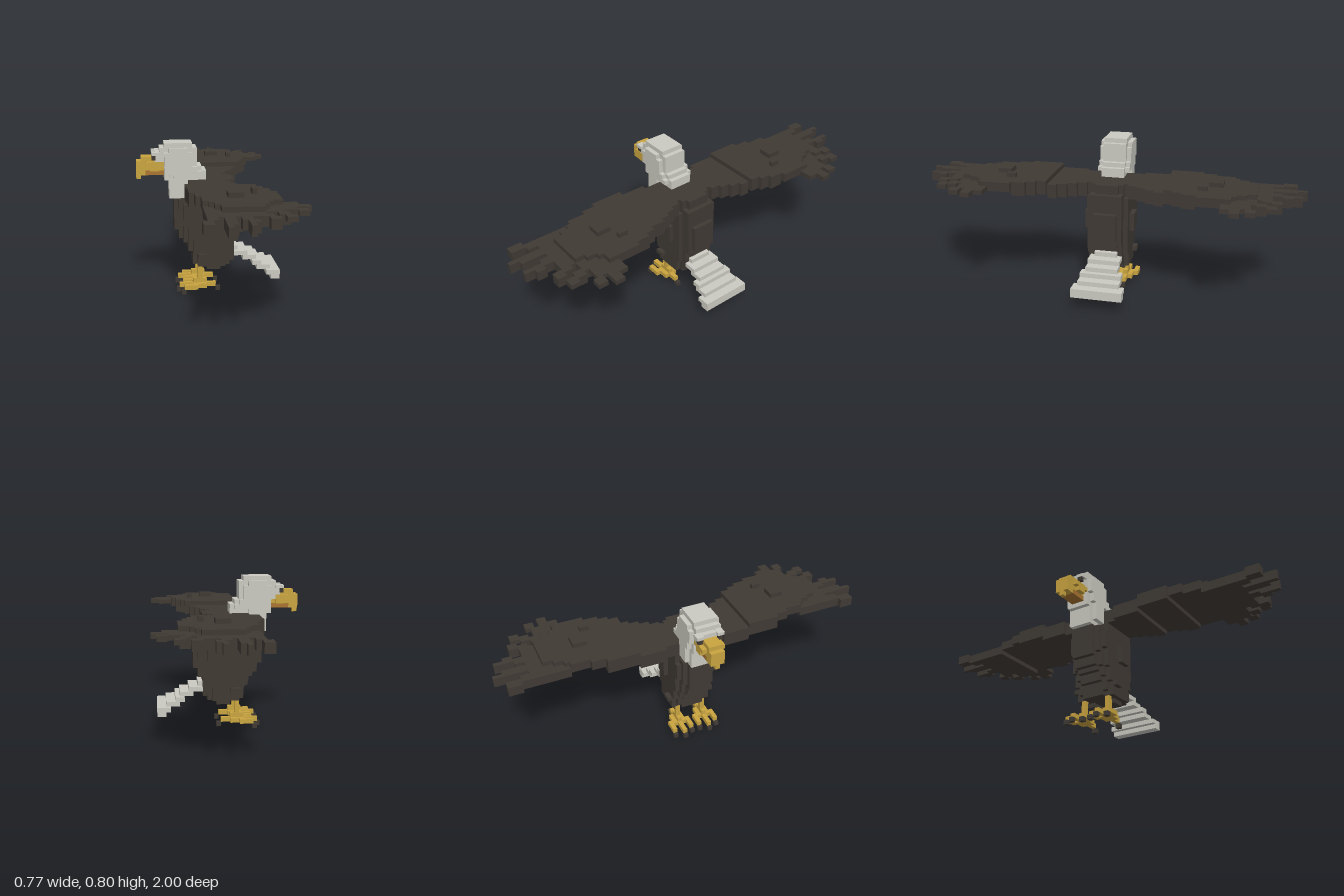
import * as THREE from 'three';
import { mergeGeometries } from 'three/addons/utils/BufferGeometryUtils.js';

const V = 2 / 83; // edge of one block

function material(name, color) {
  const m = new THREE.MeshStandardMaterial({ color });
  m.name = name;
  return m;
}

// Box from block coordinates
function box(x0, x1, y0, y1, z0, z1) {
  const g = new THREE.BoxGeometry((x1 - x0) * V, (y1 - y0) * V, (z1 - z0) * V);
  g.translate((x0 + x1) / 2 * V, (y0 + y1) / 2 * V, (z0 + z1) / 2 * V);
  return g;
}

// Rows [y0, y1, x0, x1] spread to half width w about the middle
const slab = (w, rows) => rows.map(([y0, y1, x0, x1]) => box(x0, x1, y0, y1, -w, w));

// Box on one side (s = 1 or -1), between distances a and b from the middle
const side = (s, x0, x1, y0, y1, a, b) =>
  box(x0, x1, y0, y1, Math.min(s * a, s * b), Math.max(s * a, s * b));

export function createModel() {
  const brown = material('dark brown feathers', 0x403a34);
  const white = material('pale feathers', 0xcacac1);
  const gold = material('golden beak and feet', 0xc9a440);
  const amber = material('amber mouth', 0xa87430);

  const model = new THREE.Group();
  model.name = 'bird';
  const add = (name, mat, boxes) => {
    const mesh = new THREE.Mesh(mergeGeometries(boxes), mat);
    mesh.name = name;
    model.add(mesh);
  };

  // Body: nested outlines, narrower towards the flanks
  add('body', brown, [
    ...slab(2.5, [
      [14, 21, -8, 6], [12, 14, -7, 6], [11, 12, -6, 6], [9, 11, -5, 5], [7, 9, -4, 5],
      [6, 7, -4, 4], [13, 19, 6, 7], [19, 22, -5, 6], [22, 25, -4, 5],
    ]),
    ...slab(3.5, [
      [15, 21, -7, 6], [12, 15, -6, 6], [10, 12, -5, 5], [7, 10, -4, 5],
      [6, 7, -3, 4], [21, 23, -5, 6], [23, 25, -4, 4],
    ]),
    ...slab(4.5, [
      [16, 20, -6, 4], [12, 16, -5, 4], [9, 12, -4, 4], [7, 9, -3, 3],
      [20, 22, -5, 4], [22, 25, -5, 3],
    ]),
    ...slab(5.5, [[14, 18, -1, 2]]),
  ]);

  // Thighs
  for (const s of [1, -1]) {
    add('thigh', brown, [
      side(s, -3, 3, 6, 9, 1.5, 4.5), side(s, -1, 2, 5, 6, 1.5, 3.5),
      side(s, -3, -1, 8, 9, 4.5, 5.5),
    ]);
  }

  // Neck and head
  add('neck', white, [
    ...slab(2.5, [[21, 25, -9, -5], [25, 26, -10, -1], [26, 27, -10, -1], [27, 28, -10, -2]]),
    ...slab(3.5, [[22, 26, -8, -5], [26, 27, -9, -2], [27, 28, -9, -3]]),
  ]);
  add('head', white, [
    ...slab(2.5, [[28, 32, -11, -3], [32, 33, -10, -4], [29, 31, -12, -11]]),
    ...slab(3.5, [[28, 31, -10, -4], [31, 32, -9, -5]]),
    ...slab(1.5, [[31, 32, -11, -10]]),
  ]);
  for (const s of [1, -1]) {
    add('brow', white, [side(s, -12.7, -11, 30.4, 31.1, 1.5, 3)]);
    add('eye', brown, [side(s, -12.7, -11.8, 29.4, 30.4, 1.7, 2.7)]);
  }

  // Beak with hooked tip
  add('beak', gold, [
    ...slab(1.5, [[26, 29, -16, -14], [27, 29, -14, -10], [29, 30, -15, -12]]),
    ...slab(2.5, [[27, 28, -13, -11], [28, 29, -14, -10]]),
    ...slab(0.5, [[25, 26, -16, -15]]),
  ]);
  add('mouth', amber, slab(1.5, [[26, 27, -14, -10]]));

  // Wing plan: [first row, last row, x0, x1] counted outwards
  const plan = [
    [5, 6, -5, 4], [7, 8, -6, 5], [9, 10, -6, 6], [11, 12, -6, 7], [13, 14, -6, 8],
    [15, 16, -6, 9], [17, 19, -6, 10], [20, 22, -5, 11], [23, 26, -4, 11],
    [27, 31, -4, 10], [32, 34, -4, 7],
  ];
  // Arched height of each band: [first row, last row, y0, y1]
  const bands = [[5, 12, 22, 25], [13, 19, 23, 26], [20, 26, 24, 26], [27, 34, 23, 25]];
  // Raised covert layer near the tip
  const coverts = [[27, 27, -3, 9], [28, 29, -2, 8], [30, 31, -1, 7]];
  // Flight feathers at the tip
  const feathers = [
    [35, 36, -4, -2], [37, 39, -5, -3], [35, 39, -1, 1], [40, 41, -1, 0],
    [35, 36, 2, 4], [37, 38, 3, 5], [39, 40, 3, 4], [33, 34, 6, 8], [35, 36, 7, 9],
    [32, 33, 9, 11],
  ];
  const rearFeathers = [
    [34, 35, 10, 12], [29, 30, 10, 13], [30, 31, 13, 15], [27, 28, 10, 16], [25, 26, 11, 14],
  ];
  for (const s of [1, -1]) {
    const strip = ([k0, k1, x0, x1], y0, y1) => side(s, x0, x1, y0, y1, k0 - 0.5, k1 + 0.5);
    const wing = [];
    for (const [k0, k1, x0, x1] of plan) {
      const [, , y0, y1] = bands.find((b) => k0 >= b[0] && k1 <= b[1]);
      wing.push(strip([k0, k1, x0, x1], y0, y1));
    }
    for (const c of coverts) wing.push(strip(c, 25, 26));
    wing.push(strip([22, 24, 1, 4], 26, 27), strip([20, 21, 6, 7], 26, 27));
    add('wing', brown, wing);
    add('flightFeathers', brown, [
      ...feathers.map((f) => strip(f, 23, 25)), ...rearFeathers.map((f) => strip(f, 24, 25)),
    ]);
  }

  // Stepped tail fanning out backwards
  add('tail', white, [
    ...slab(2.5, [[8, 10, 5, 6]]),
    ...slab(3.5, [[8, 9, 5, 8], [7, 8, 7, 10]]),
    ...slab(4.5, [[6, 7, 9, 11], [5, 6, 10, 13]]),
    ...slab(5.5, [[4, 5, 12, 15], [3, 4, 13, 15]]),
  ]);

  // Legs, three-toed feet and claws
  for (const s of [1, -1]) {
    add('leg', gold, [side(s, -3, -2, 2, 6, 2.5, 3.5)]);
    add('foot', gold, [
      side(s, -4, -1, 2, 3, 2.5, 3.5), side(s, -4, -1, 1, 2, 1.5, 4.5),
      side(s, -7, 1, 1, 2, 2.5, 3.5),
      side(s, -6, -3, 1, 2, 0.5, 1.5), side(s, -6, -3, 1, 2, 4.5, 5.5),
    ]);
    add('claws', brown, [
      side(s, -7.6, -6.7, 0, 1, 2.5, 3.5), side(s, 1, 2, 0, 1, 2.5, 3.5),
      side(s, -6.7, -5.7, 0, 1, 0.5, 1.5), side(s, -6.7, -5.7, 0, 1, 4.5, 5.5),
    ]);
  }
  return model;
}
